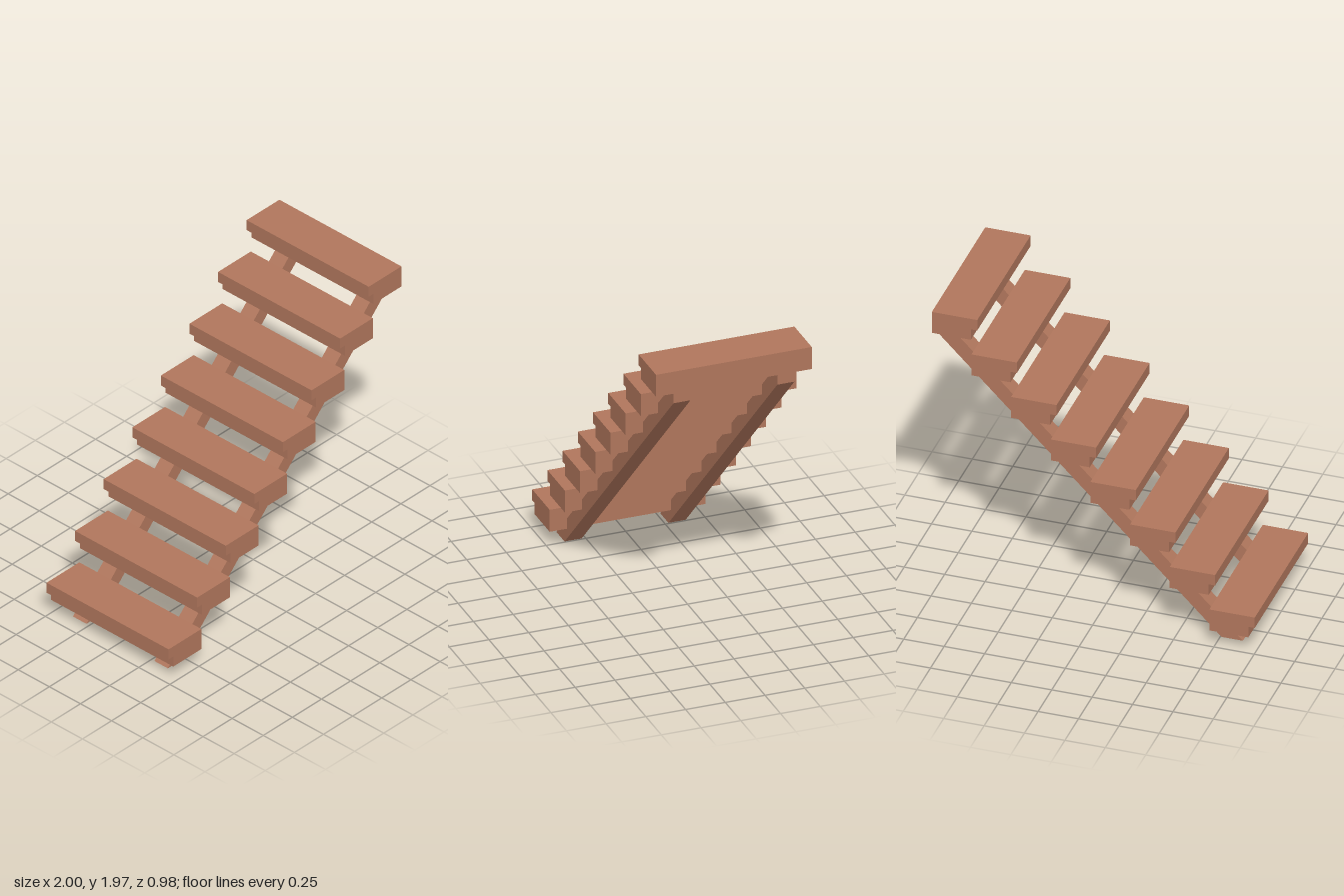
import * as THREE from 'three';

// Extrude a side profile (x, y points) along z, centred on the given z
function profileMesh(name, points, width, z, material) {
  const shape = new THREE.Shape(points.map(([x, y]) => new THREE.Vector2(x, y)));
  const geometry = new THREE.ExtrudeGeometry(shape, { depth: width, bevelEnabled: false });
  geometry.translate(0, 0, z - width / 2);
  const mesh = new THREE.Mesh(geometry, material);
  mesh.name = name;
  return mesh;
}

export function createModel() {
  const group = new THREE.Group();
  group.name = 'staircase';
  const wood = new THREE.MeshStandardMaterial({ color: 0xb0765c });
  wood.name = 'brown wood';

  // Treads with an overhanging nosing along the front edge
  const steps = 8, pitch = 0.2453;
  const treadProfile = [
    [-0.96, 0.103], [-0.719, 0.103], [-0.719, 0.248],
    [-1, 0.248], [-1, 0.176], [-0.96, 0.176],
  ];
  for (let i = 0; i < steps; i++) {
    const tread = profileMesh(`tread${i + 1}`, treadProfile, 0.98, 0, wood);
    tread.position.set(i * pitch, i * pitch, 0);
    group.add(tread);
  }

  // Two sloping stringers, cut level at the floor and plumb at the top
  const stringerProfile = [
    [-0.89, 0], [-0.758, 0], [0.998, 1.757], [0.998, 1.821], [0.931, 1.821],
  ];
  for (const side of [-1, 1]) {
    const name = side > 0 ? 'frontStringer' : 'backStringer';
    group.add(profileMesh(name, stringerProfile, 0.108, side * 0.327, wood));
  }
  return group;
}
